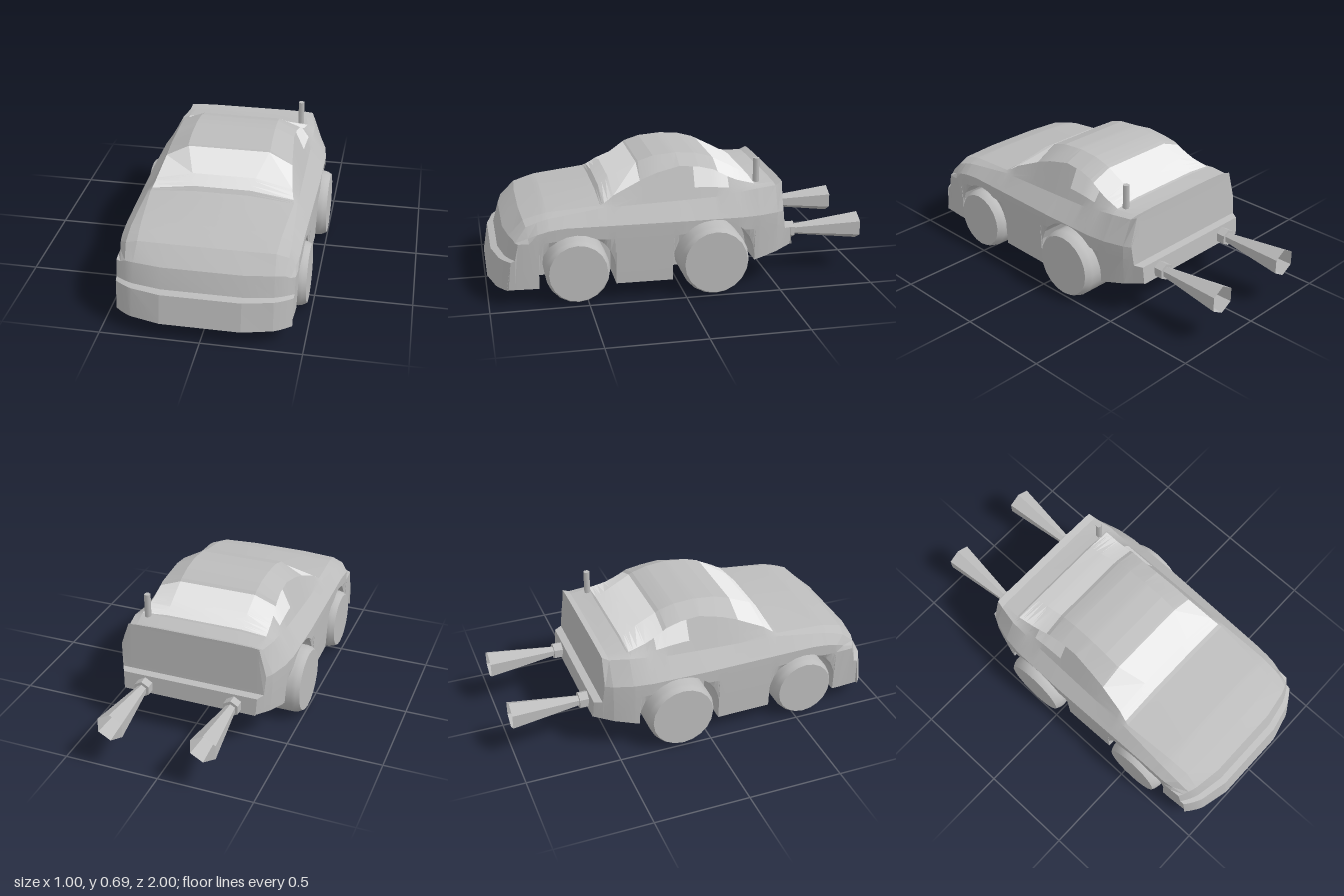
import * as THREE from 'three';
import { toCreasedNormals } from 'three/addons/utils/BufferGeometryUtils.js';

const paint = new THREE.MeshStandardMaterial({ color: 0xbcbcbc });
paint.name = 'grey paint';
const glass = new THREE.MeshStandardMaterial({ color: 0xe6e6e6 });
glass.name = 'pale glass';
const flare = new THREE.MeshStandardMaterial({ color: 0xbcbcbc, side: THREE.DoubleSide });
flare.name = 'grey exhaust';

// Wheels: centre z and y, radius, outer x, arch radius
const wheels = [
  { name: 'front', z: 0.55, y: 0.165, r: 0.165, out: 0.475, arch: 0.195 },
  { name: 'rear', z: -0.155, y: 0.18, r: 0.18, out: 0.5, arch: 0.217 },
];

// Value along the car, from [z, value] keys running front to back
function along(keys, z) {
  let i = 0;
  while (i < keys.length - 2 && keys[i + 1][0] > z) i++;
  const [a, b] = [keys[i], keys[i + 1]];
  return THREE.MathUtils.mapLinear(z, a[0], b[0], a[1], b[1]);
}

// Side-view lines: top of the car and belt line under the windows
const topLine = [
  [1, 0.085], [0.975, 0.235], [0.94, 0.245], [0.91, 0.35], [0.82, 0.43], [0.69, 0.47],
  [0.42, 0.507], [0.35, 0.572], [0.2, 0.66], [0.12, 0.685], [0, 0.695], [-0.1, 0.687],
  [-0.18, 0.665], [-0.3, 0.603], [-0.4, 0.547], [-0.5, 0.54], [-0.535, 0.555],
  [-0.538, 0.49], [-0.55, 0.3], [-0.59, 0.295], [-0.598, 0.2],
];
const beltLine = [
  [1, 0.085], [0.975, 0.235], [0.94, 0.245], [0.91, 0.345], [0.82, 0.405], [0.69, 0.44],
  [0.42, 0.475], [0, 0.488], [-0.18, 0.495], [-0.4, 0.525], [-0.5, 0.53], [-0.535, 0.548],
  [-0.538, 0.49], [-0.55, 0.3], [-0.59, 0.295], [-0.598, 0.2],
];
const floorLine = [[1, 0.085], [0, 0.085], [-0.598, 0.2]];
// Half widths of the body, belt, roof edge and roof
const bodyWidth = [
  [1, 0.435], [0.82, 0.443], [0, 0.46], [-0.3, 0.458], [-0.4, 0.445], [-0.5, 0.414], [-0.598, 0.36],
];
const beltWidth = [[1, 0.38], [0.82, 0.4], [0.69, 0.4], [0.42, 0.387], [-0.4, 0.38], [-0.598, 0.34]];
const edgeWidth = [
  [1, 0.35], [0.82, 0.34], [0.42, 0.37], [0.35, 0.352], [0.2, 0.33], [0, 0.312],
  [-0.1, 0.313], [-0.4, 0.34], [-0.598, 0.3],
];
const roofWidth = [[1, 0.2], [0.91, 0.2], [0.82, 0.15], [0.42, 0.14], [0.2, 0.215], [-0.598, 0.2]];
// Height of the roof edge as a share of the way from belt to top
const edgeShare = [
  [1, 0.8], [0.82, 0.8], [0.42, 0.31], [0.35, 0.53], [0, 0.78], [-0.18, 0.75], [-0.3, 0.56], [-0.598, 0.6],
];

function archHeight(z) {
  for (const w of wheels) {
    const d = Math.abs(z - w.z);
    if (d < w.arch - 1e-5) return w.y + Math.sqrt(w.arch ** 2 - d ** 2);
  }
  return 0;
}

// Closed ring of points around the body at one z, with wheel wells cut from below
function ringAt(z) {
  const floor = along(floorLine, z), lip = Math.max(floor, archHeight(z));
  const top = along(topLine, z), belt = along(beltLine, z), width = along(bodyWidth, z);
  const waist = Math.min(0.33, top);
  const shoulder = Math.max(waist, Math.min(0.4, belt - 0.05));
  const tuck = 0.025 * THREE.MathUtils.smoothstep(z, 0.7, 0.94);
  const beltX = along(beltWidth, z), edgeX = along(edgeWidth, z);
  const edge = THREE.MathUtils.lerp(belt, top, along(edgeShare, z));
  const half = [
    [0.25, floor], [0.25, lip], [width - 0.01, lip],
    [width, Math.max(waist, lip)], [width - tuck, Math.max(shoulder, lip)],
    [beltX, belt], [beltX + (edgeX - beltX) * 0.35, belt + (edge - belt) * 0.35],
    [edgeX, edge], [along(roofWidth, z), top],
  ];
  const ring = [...half, ...half.map(([x, y]) => [-x, y]).reverse()];
  // the nose curves back towards its corners
  const bow = Math.max(0, (z - 0.75) / 0.25) * 0.1;
  return ring.map(([x, y]) => new THREE.Vector3(x, y, z - bow * (Math.abs(x) / 0.435) ** 4));
}

// Strips 7 to 9 cross the roof, strips 6 and 10 are the cabin sides
function isGlass(j, z) {
  if (j >= 7 && j <= 9) return (z < 0.4 && z > 0.21) || (z < -0.2 && z > -0.39);
  return (j === 6 || j === 10) && z < -0.07 && z > -0.25;
}

function named(name, geometry, material) {
  const m = new THREE.Mesh(geometry, material);
  m.name = name;
  return m;
}

function surface(name, corners, material) {
  const g = new THREE.BufferGeometry().setFromPoints(corners);
  return named(name, toCreasedNormals(g, 0.2), material);
}

// Body lofted front to back, with the window strips split off
function buildShell(group) {
  const cuts = new Set([...topLine.map((k) => k[0]), 0.4, 0.21, -0.07, -0.2, -0.25, -0.39]);
  for (const w of wheels) {
    for (const s of [-1, 1]) {
      cuts.add(w.z + s * w.arch);
      cuts.add(w.z + s * (w.arch - 0.0005));
    }
    for (let k = 1; k < 12; k++) cuts.add(w.z + w.arch * Math.cos((k * Math.PI) / 12));
  }
  const zs = [...cuts].sort((a, b) => b - a);
  const rings = zs.map(ringAt);
  const body = [], windows = [];
  const triangle = new THREE.Triangle();
  for (let i = 0; i < rings.length - 1; i++) {
    const n = rings[i].length;
    for (let j = 0; j < n; j++) {
      const k = (j + 1) % n;
      const a = rings[i][j], b = rings[i][k], c = rings[i + 1][k], d = rings[i + 1][j];
      const target = isGlass(j, (zs[i] + zs[i + 1]) / 2) ? windows : body;
      for (const t of [[a, d, c], [a, c, b]]) {
        if (triangle.set(...t).getArea() > 1e-9) target.push(...t);
      }
    }
  }
  group.add(surface('bodyShell', body, paint), surface('windows', windows, glass));
}

function buildWheel(w, side) {
  const inner = 0.26, bevel = 0.03;
  const profile = [
    [0, inner], [w.r - bevel, inner], [w.r, inner + bevel],
    [w.r, w.out - 0.04], [w.r - 0.005, w.out - 0.02], [w.r - 0.016, w.out], [0, w.out],
  ].map(([r, h]) => new THREE.Vector2(r, h));
  const g = toCreasedNormals(new THREE.LatheGeometry(profile, 20), 0.4);
  g.rotateZ((-side * Math.PI) / 2);
  const mesh = named(`${w.name}${side > 0 ? 'Left' : 'Right'}Wheel`, g, paint);
  mesh.position.set(0, w.y, w.z);
  return mesh;
}

// Exhaust: a short collar and an open six-sided cone that widens backwards
function buildExhaust(side) {
  const group = new THREE.Group();
  group.name = side > 0 ? 'leftExhaust' : 'rightExhaust';
  const collar = new THREE.CylinderGeometry(0.045, 0.045, 0.06, 6).rotateX(Math.PI / 2);
  collar.translate(0, 0, -0.61);
  const cone = new THREE.CylinderGeometry(0.027, 0.075, 0.37, 6, 1, true).rotateX(Math.PI / 2);
  cone.translate(0, 0, -0.815);
  group.add(
    named('collar', toCreasedNormals(collar, 0.2), paint),
    named('cone', toCreasedNormals(cone, 0.2), flare),
  );
  group.position.set(side * 0.243, 0.24, 0);
  return group;
}

export function createModel() {
  const car = new THREE.Group();
  car.name = 'car';
  buildShell(car);
  for (const side of [1, -1]) {
    for (const w of wheels) car.add(buildWheel(w, side));
    car.add(buildExhaust(side));
  }
  // Antenna on the left rear deck
  const antenna = named('antenna', new THREE.CylinderGeometry(0.017, 0.017, 0.17, 6), paint);
  antenna.position.set(0.3, 0.582, -0.41);
  car.add(antenna);
  return car;
}
